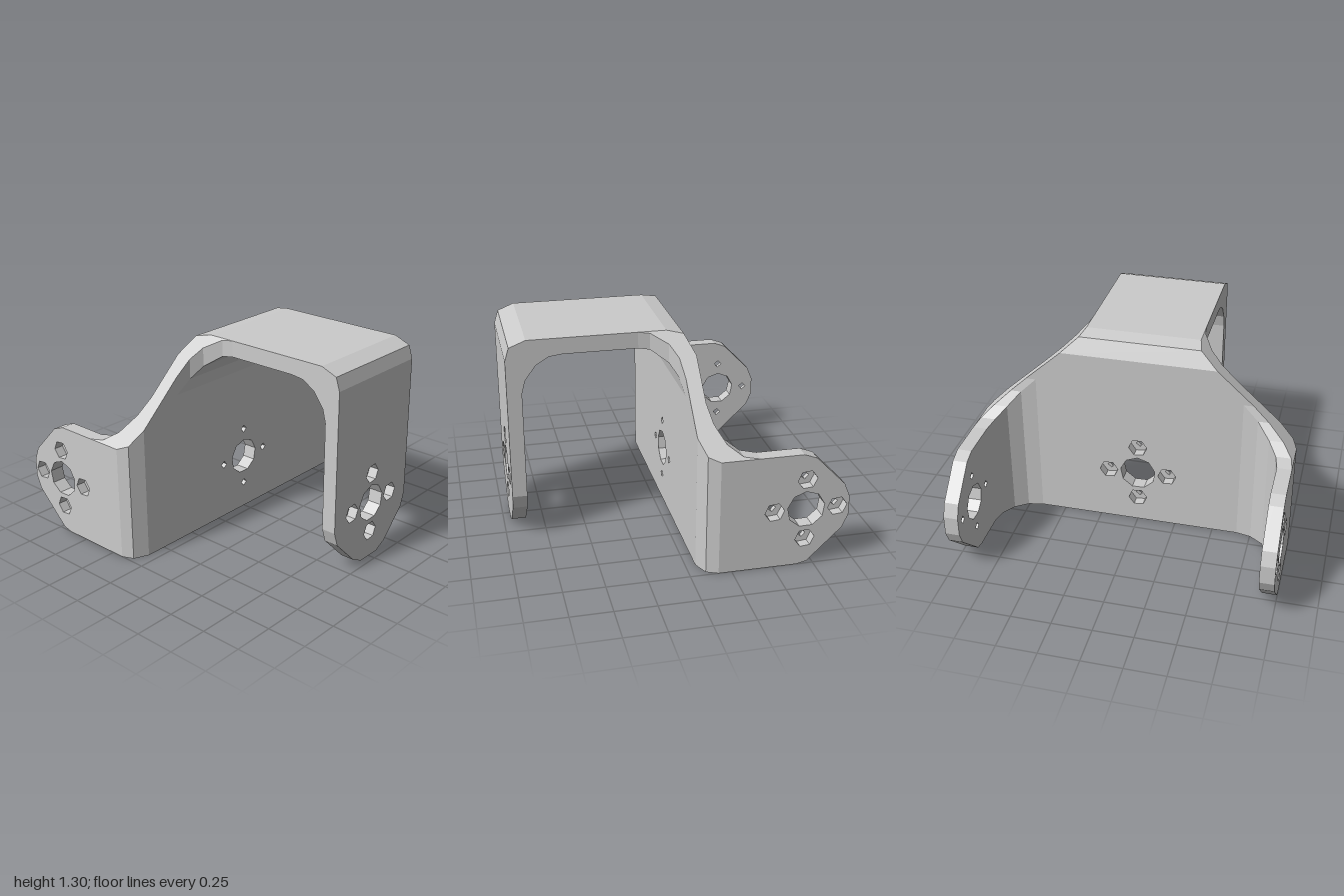
import * as THREE from 'three';

const material = new THREE.MeshStandardMaterial({ color: 0xcccccc, flatShading: true, side: THREE.DoubleSide });
const T = 0.09;          // sheet thickness
const HOLE_Y = 0.365;    // height of the hole pattern
// sloped shoulder line: height at x, and half width at y
const slopeY = x => 1.3 - (x - 0.36) * 0.58 / 0.64;
const slopeX = y => 0.36 + (1.3 - y) * 0.64 / 0.58;

function ngon(cx, cy, r, n, turn = 0) {
  const pts = [];
  for (let i = 0; i < n; i++) {
    const a = turn + i / n * Math.PI * 2;
    pts.push(new THREE.Vector2(cx + r * Math.cos(a), cy + r * Math.sin(a)));
  }
  return new THREE.Path(pts);
}

// flat plate, z 0..T, with a centre hole and four stepped screw holes (wide on +z)
function plate(name, outline, cx) {
  const group = new THREE.Group();
  group.name = name;
  const layers = [
    ['Inner', 0, 0.03, 0.025, 4],
    ['Outer', 0.03, T - 0.03, 0.06, 6],
  ];
  for (const [label, z, depth, r, sides] of layers) {
    const shape = new THREE.Shape(outline.map(p => new THREE.Vector2(p[0], p[1])));
    shape.holes.push(ngon(cx, HOLE_Y, 0.115, 9, 0.2));
    for (let i = 0; i < 4; i++) {
      const a = i * Math.PI / 2;
      shape.holes.push(ngon(cx + 0.192 * Math.cos(a), HOLE_Y + 0.192 * Math.sin(a), r, sides, 0.1));
    }
    const geo = new THREE.ExtrudeGeometry(shape, { depth, bevelEnabled: false });
    geo.translate(0, 0, z);
    const mesh = new THREE.Mesh(geo, material);
    mesh.name = name + label + 'Layer';
    group.add(mesh);
  }
  return group;
}

// skin over a row of closed cross-sections
function loft(name, loops, flip) {
  const pos = [];
  for (let s = 0; s < loops.length - 1; s++) {
    const A = loops[s], B = loops[s + 1], n = A.length;
    for (let i = 0; i < n; i++) {
      const j = (i + 1) % n;
      const quad = [A[i], A[j], B[j], B[i]];
      if (flip) quad.reverse();
      for (const k of [0, 1, 2, 0, 2, 3]) pos.push(...quad[k]);
    }
  }
  const geo = new THREE.BufferGeometry();
  geo.setAttribute('position', new THREE.Float32BufferAttribute(pos, 3));
  geo.computeVertexNormals();
  const mesh = new THREE.Mesh(geo, material);
  mesh.name = name;
  return mesh;
}

// right half of an outline plus its mirror image
const mirrored = half => [...half, ...half.map(([x, y]) => [-x, y]).reverse()];

export function createModel() {
  const model = new THREE.Group();
  model.name = 'bracket';

  // front tongue with rounded lower end
  const front = plate('frontPlate',
    mirrored([[0.08, 0], [0.16, 0.04], [0.33, 0.21], [0.36, 0.3], [0.36, 0.97]]), 0);
  front.position.z = 0.955 - T;
  model.add(front);

  // back plate with sloped shoulders, stepped holes open to the rear
  const back = plate('backPlate',
    mirrored([[slopeX(0.97), 0], [slopeX(0.97), 0.97], [0.6, slopeY(0.6)]]), 0);
  back.rotation.y = Math.PI;
  back.position.z = -0.06;
  model.add(back);

  // top strap: [inner z, inner y, outer z, outer y, inner half width]
  const strap = [
    [0.865, 0.97, 0.955, 0.97, 0.36],
    [0.845, 1.05, 0.955, 1.18, 0.36],
    [0.78, 1.14, 0.93, 1.26, 0.36],
    [0.70, 1.19, 0.83, 1.3, 0.36],
    [0.62, 1.2, 0.62, 1.3, 0.36],
    [0.17, 1.2, 0.17, 1.3, 0.36],
    [0.10, 1.19, 0, 1.3, 0.37],
    [0, 1.12, -0.10, 1.28, 0.43],
    [-0.045, 1.05, -0.15, 1.18, 0.5],
    [-0.06, 0.97, -0.15, slopeY(0.6), 0.6],
  ];
  model.add(loft('topStrap', strap.map(([zi, yi, zo, yo, w], k) => {
    const rear = k > 4;
    const wo = rear ? slopeX(yo) : 0.36;
    const mid = rear ? [w, slopeY(w), zi] : [w, (yi + yo) / 2, (zi + zo) / 2];
    const half = [[w, yi, zi], mid, [wo, yo, zo]];
    return [...half, ...half.map(([x, y, z]) => [-x, y, z]).reverse()];
  }), true));

  // side bends: [inner x, inner z, outer x, outer z, inner height]
  const bend = [
    [0.66, -0.15, slopeX(0.97), -0.06, 0.97],
    [0.755, -0.17, 0.88, -0.06, 0.88],
    [0.835, -0.225, 0.97, -0.1, 0.79],
    [0.89, -0.305, 1, -0.17, 0.735],
    [0.91, -0.4, 1, -0.4, 0.72],
  ];
  // rear arm outline: [distance behind centre, height]
  const arm = [[0.4, 0], [0.65, 0], [0.71, 0.015], [0.92, 0.22], [0.955, 0.3], [0.955, 0.42],
    [0.92, 0.505], [0.74, 0.69], [0.66, 0.72], [0.4, 0.72]];

  for (const [side, label] of [[1, 'left'], [-1, 'right']]) {
    model.add(loft(label + 'Bend', bend.map(([xi, zi, xo, zo, h]) => [
      [side * xi, h, zi],
      [side * slopeX(h), h, zi],
      [side * xo, slopeY(xo), zo],
      [side * xo, 0, zo],
      [side * xi, 0, zi],
    ]), side < 0));
    const armPlate = plate(label + 'Arm', arm.map(([u, y]) => [side * u, y]), side * 0.69);
    armPlate.rotation.y = side * Math.PI / 2;
    armPlate.position.x = side * (1 - T);
    model.add(armPlate);
  }
  return model;
}
